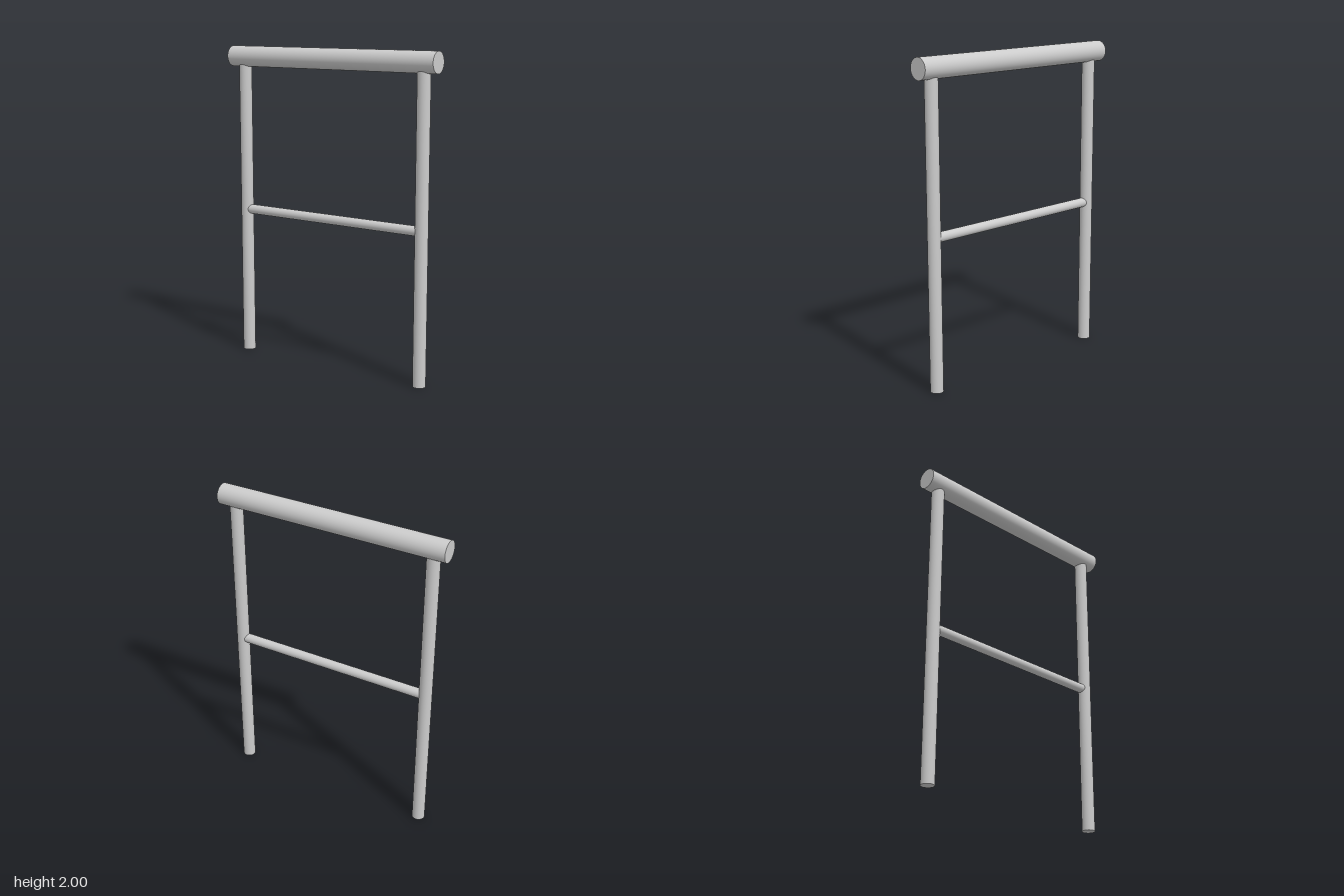
import * as THREE from 'three';

const material = new THREE.MeshStandardMaterial({ color: 0xcccccc });

// Round bar, upright or lying along x
function bar(name, radius, length, x, y, lying) {
  const mesh = new THREE.Mesh(new THREE.CylinderGeometry(radius, radius, length, 48), material);
  mesh.name = name;
  mesh.position.set(x, y, 0);
  if (lying) mesh.rotation.z = Math.PI / 2;
  return mesh;
}

export function createModel() {
  const model = new THREE.Group();
  model.name = 'railing';

  const frame = new THREE.Group();
  frame.name = 'frame';
  // The whole frame is turned slightly about the vertical
  frame.rotation.y = THREE.MathUtils.degToRad(-5);
  model.add(frame);

  // Thick handrail on top
  frame.add(bar('handrail', 0.065, 1.49, 0, 1.935, true));

  // Posts, ending inside the handrail
  for (const [name, side] of [['leftPost', 1], ['rightPost', -1]]) {
    frame.add(bar(name, 0.04, 1.935, side * 0.652, 0.9675, false));
  }

  // Thin rail between the posts
  frame.add(bar('middleRail', 0.03, 1.304, 0, 0.95, true));

  return model;
}
